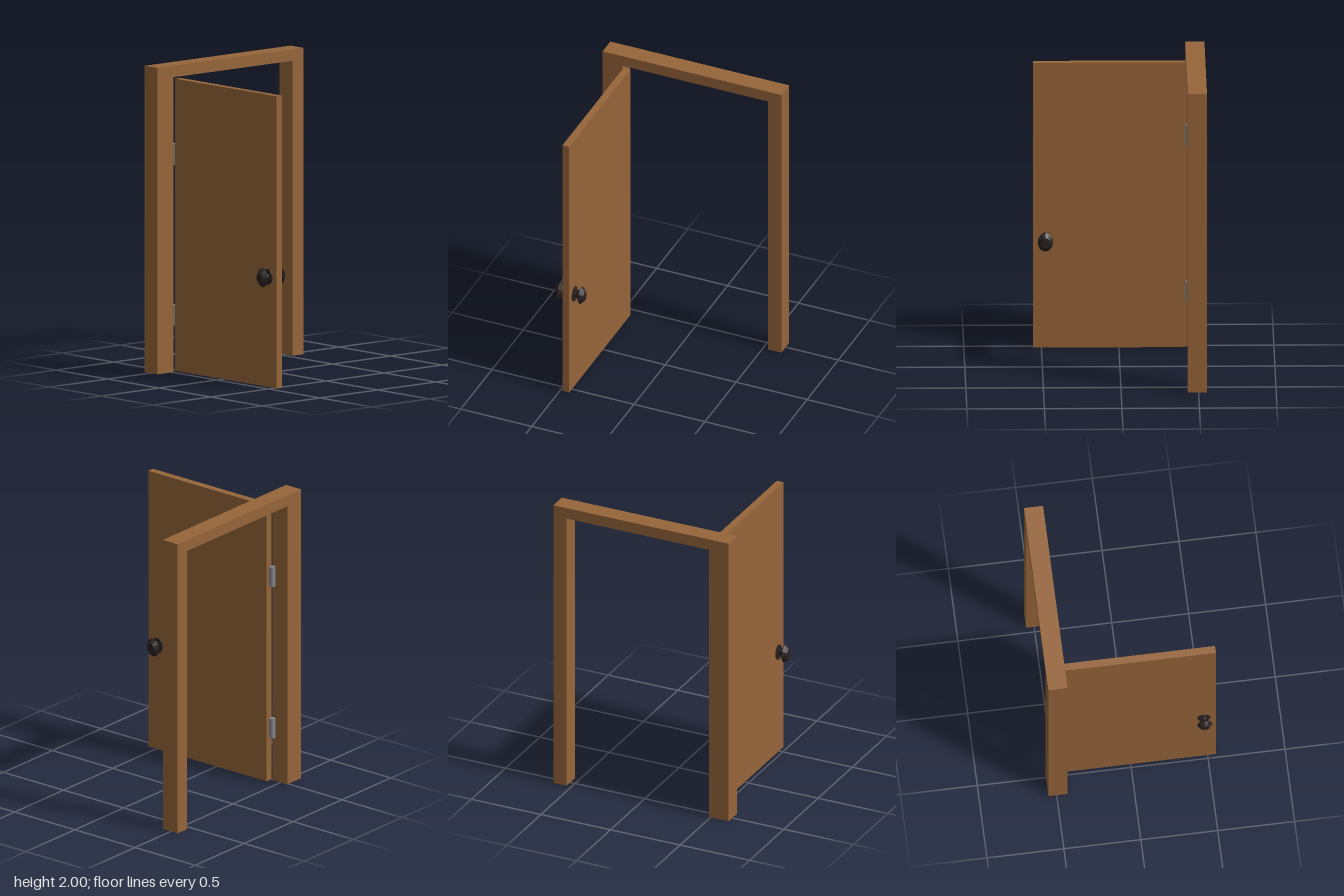
import * as THREE from 'three';

export function createModel() {
  const model = new THREE.Group();
  const wood = new THREE.MeshStandardMaterial({ color: 0x96653a });
  wood.name = 'wood';
  const darkMetal = new THREE.MeshStandardMaterial({ color: 0x2a2221, flatShading: true });
  darkMetal.name = 'dark metal';
  const grey = new THREE.MeshStandardMaterial({ color: 0x85878a, flatShading: true });
  grey.name = 'grey metal';

  const add = (name, geometry, material) => {
    const mesh = new THREE.Mesh(geometry, material);
    mesh.name = name;
    model.add(mesh);
    return mesh;
  };

  // Door frame: one arch-shaped outline, with a wider post on the hinge side
  const outline = new THREE.Shape([
    [-0.63, 0], [-0.49, 0], [-0.49, 1.925], [0.535, 1.925],
    [0.535, 0], [0.63, 0], [0.63, 2], [-0.63, 2],
  ].map(([x, y]) => new THREE.Vector2(x, y)));
  const frame = new THREE.ExtrudeGeometry(outline, { depth: 0.124, bevelEnabled: false });
  add('doorFrame', frame.translate(0, 0, -0.554), wood);

  // Door panel, standing open at a right angle
  const doorX = -0.456;
  const panel = new THREE.BoxGeometry(0.048, 1.907, 0.984);
  add('doorPanel', panel.translate(doorX, 0.9615, 0.062), wood);

  // Hinge barrels between the panel and the wide post
  for (const [name, y] of [['lowerHinge', 0.37], ['upperHinge', 1.42]]) {
    add(name, new THREE.CylinderGeometry(0.02, 0.02, 0.135, 8), grey).position.set(-0.47, y, -0.445);
  }

  // Knobs: rosette, neck and faceted grip, slightly taller than wide
  const profile = [
    [0, 0.02], [0.042, 0.02], [0.042, 0.031], [0.017, 0.031], [0.017, 0.046],
    [0.05, 0.073], [0.028, 0.1], [0, 0.1],
  ].map(([r, h]) => new THREE.Vector2(r, h));
  for (const side of [-1, 1]) {
    const knob = new THREE.LatheGeometry(profile, 12);
    knob.rotateZ(-side * Math.PI / 2).scale(1, 1.25, 1);
    add(side < 0 ? 'outerKnob' : 'innerKnob', knob, darkMetal).position.set(doorX, 0.727, 0.475);
  }
  return model;
}
